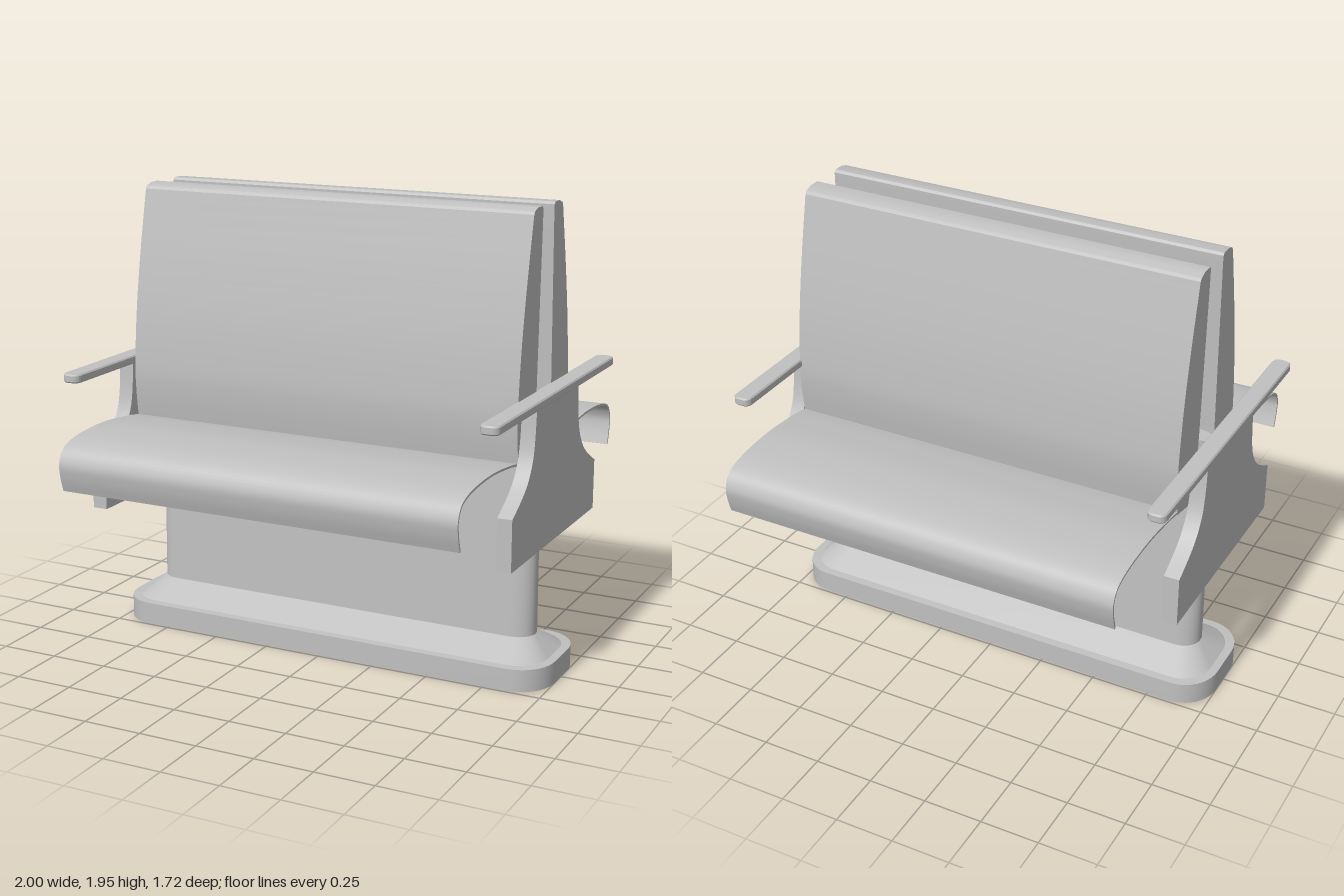
import * as THREE from 'three';
import { toCreasedNormals } from 'three/addons/utils/BufferGeometryUtils.js';

const grey = new THREE.MeshStandardMaterial({ color: 0xc0c0c0 });
grey.name = 'grey';

const vec = (p) => new THREE.Vector2(p[0], p[1]);
const spline = (pts, n) => new THREE.SplineCurve(pts.map(vec)).getPoints(n);

function add(group, name, geometry, crease = 0.6) {
  const mesh = new THREE.Mesh(toCreasedNormals(geometry, crease), grey);
  mesh.name = name;
  group.add(mesh);
}

// Sweep a (z, y) outline along x from x0 to x1
function sweep(points, x0, x1) {
  const g = new THREE.ExtrudeGeometry(new THREE.Shape(points), { depth: x1 - x0, bevelEnabled: false });
  return g.rotateY(-Math.PI / 2).translate(x1, 0, 0);
}

// Rounded rectangle in plan with elliptical corners
function plan(hx, hz, rx, rz, n = 10) {
  const out = [];
  [[1, 1], [-1, 1], [-1, -1], [1, -1]].forEach(([sx, sz], q) => {
    for (let i = 0; i <= n; i++) {
      const a = (q + i / n) * Math.PI / 2;
      out.push([sx * (hx - rx) + rx * Math.cos(a), sz * (hz - rz) + rz * Math.sin(a)]);
    }
  });
  return out;
}

// Skin a stack of plan sections [y, hx, hz, rx, rz], capped at both ends
function loft(sections) {
  const pos = [], index = [], count = plan(1, 1, 0.5, 0.5).length;
  for (const [y, ...s] of sections) for (const [x, z] of plan(...s)) pos.push(x, y, z);
  for (let r = 0; r < sections.length - 1; r++) {
    for (let i = 0; i < count; i++) {
      const a = r * count + i, b = r * count + (i + 1) % count;
      index.push(a, a + count, b, b, a + count, b + count);
    }
  }
  const top = (sections.length - 1) * count;
  pos.push(0, sections[0][0], 0, 0, sections.at(-1)[0], 0);
  const c = pos.length / 3;
  for (let i = 0; i < count; i++) {
    const j = (i + 1) % count;
    index.push(c - 2, i, j, c - 1, top + j, top + i);
  }
  const g = new THREE.BufferGeometry();
  g.setAttribute('position', new THREE.Float32BufferAttribute(pos, 3));
  g.setIndex(index);
  return g;
}

// Thin curved shell: the seat line and its offset underside
function seatOutline() {
  const top = spline([[0.06, 0.92], [0.27, 0.967], [0.4, 0.985], [0.55, 0.995], [0.72, 0.985],
    [0.82, 0.957], [0.858, 0.9], [0.855, 0.84], [0.837, 0.775]], 40);
  const under = top.map((p, i) => {
    const a = top[Math.max(i - 1, 0)], b = top[Math.min(i + 1, top.length - 1)];
    const t = b.clone().sub(a).normalize();
    return new THREE.Vector2(p.x + t.y * 0.009, p.y - t.x * 0.009);
  });
  return [...top, ...under.reverse()];
}

function backOutline() {
  const face = spline([[0.265, 0.95], [0.279, 1.08], [0.28, 1.2], [0.258, 1.42], [0.217, 1.66], [0.16, 1.925]], 24);
  return [[0.09, 0.92], [0.25, 0.95]].map(vec)
    .concat(face, [[0.152, 1.937], [0.12, 1.948], [0.07, 1.948], [0.062, 1.938], [0.062, 1.9], [0.083, 1.2]].map(vec));
}

// End panel: wide foot narrowing in a concave curve to the armrest
function panelOutline() {
  const edge = spline([[0.475, 0.805], [0.39, 0.852], [0.32, 0.905], [0.27, 0.98], [0.248, 1.07], [0.238, 1.185]], 20);
  const half = [vec([0.475, 0.59]), ...edge];
  return [...half, ...half.map((p) => new THREE.Vector2(-p.x, p.y)).reverse()];
}

export function createModel() {
  const group = new THREE.Group();
  group.name = 'doubleSidedBench';

  // Plinth with sloping shoulder
  add(group, 'base', loft([
    [0, 1, 0.24, 0.15, 0.16],
    [0.095, 1, 0.24, 0.15, 0.16],
    [0.097, 0.965, 0.205, 0.13, 0.14],
    [0.17, 0.885, 0.082, 0.08, 0.078],
  ]), 0.4);

  // Tapering wall that carries the seats
  add(group, 'pedestal', loft([
    [0.16, 0.885, 0.08, 0.09, 0.075],
    [0.59, 0.884, 0.065, 0.09, 0.06],
    [1.17, 0.882, 0.046, 0.09, 0.042],
  ]));

  // Seat and backrest on each face
  for (const side of [1, -1]) {
    const word = side > 0 ? 'front' : 'rear';
    const flip = (pts) => pts.map((p) => new THREE.Vector2(p.x * side, p.y));
    add(group, word + 'Seat', sweep(flip(seatOutline()), -0.855, 0.89));
    add(group, word + 'Backrest', sweep(flip(backOutline()), -0.855, 0.89), 0.35);
  }

  // End panels and armrests
  for (const [word, x0, x1] of [['right', -0.96, -0.895], ['left', 0.89, 0.952]]) {
    add(group, word + 'Panel', sweep(panelOutline(), x0, x1), 0.5);
    const rest = loft([
      [1.18, 0.036, 0.666, 0.026, 0.026],
      [1.185, 0.04, 0.67, 0.03, 0.03],
      [1.21, 0.04, 0.67, 0.03, 0.03],
      [1.216, 0.035, 0.665, 0.025, 0.025],
    ]);
    add(group, word + 'Armrest', rest.translate((x0 + x1) / 2, 0, -0.004));
  }
  return group;
}
